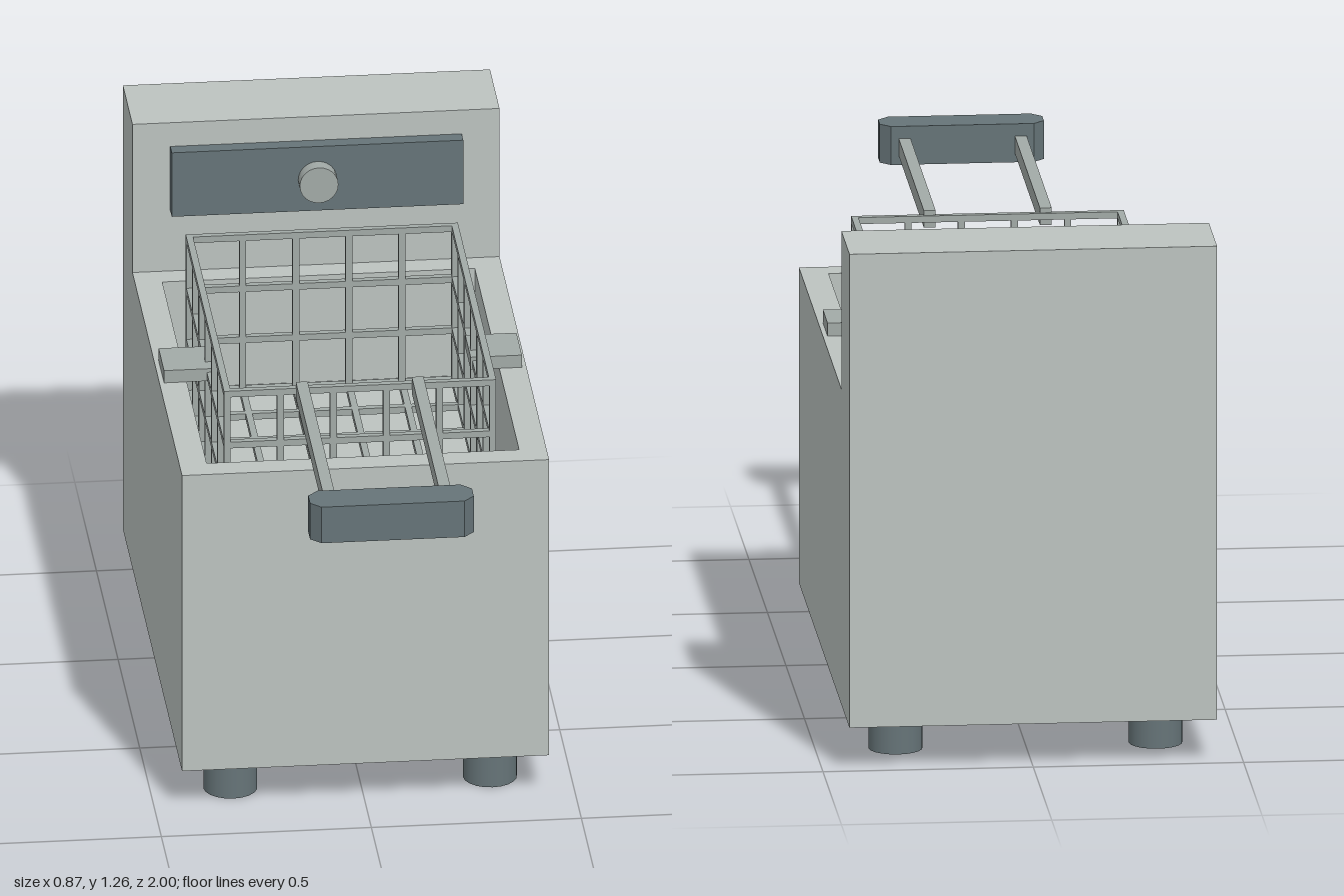
import * as THREE from 'three';

export function createModel() {
  const model = new THREE.Group();
  const body = new THREE.MeshStandardMaterial({ color: 0xbcc3c0 });
  const steel = new THREE.MeshStandardMaterial({ color: 0xa2aaa7 });
  const dark = new THREE.MeshStandardMaterial({ color: 0x667478 });

  function add(parent, name, geometry, material) {
    const mesh = new THREE.Mesh(geometry, material);
    mesh.name = name;
    parent.add(mesh);
    return mesh;
  }
  // Box given by its lower and upper bounds
  function box(parent, name, x0, x1, y0, y1, z0, z1, material) {
    const mesh = add(parent, name, new THREE.BoxGeometry(x1 - x0, y1 - y0, z1 - z0), material);
    mesh.position.set((x0 + x1) / 2, (y0 + y1) / 2, (z0 + z1) / 2);
  }
  // Rectangle outline on the ground plane (shape y = -z), clockwise
  const rect = (x0, x1, z0, z1) => [[x0, -z0], [x1, -z0], [x1, -z1], [x0, -z1]]
    .map(([x, y]) => new THREE.Vector2(x, y));
  // Upright prism from a ground-plane shape
  function prism(parent, name, shape, y0, y1, material) {
    const geometry = new THREE.ExtrudeGeometry(shape, { depth: y1 - y0, bevelEnabled: false });
    geometry.rotateX(-Math.PI / 2);
    add(parent, name, geometry, material).position.y = y0;
  }

  // Housing with an open basin; the hole runs against the outline so its walls face inwards
  const housing = new THREE.Group();
  housing.name = 'housing';
  model.add(housing);
  const outline = new THREE.Shape(rect(-0.437, 0.437, -1, 0.366));
  outline.holes.push(new THREE.Path(rect(-0.372, 0.372, -0.72, 0.303).reverse()));
  prism(housing, 'basinWalls', outline, 0.106, 0.878, body);
  box(housing, 'basinFloor', -0.372, 0.372, 0.106, 0.6, -0.72, 0.303, body);
  box(housing, 'backPanel', -0.437, 0.437, 0.878, 1.265, -1, -0.78, body);

  // Control plate and dial
  box(model, 'controlPlate', -0.347, 0.347, 1.036, 1.203, -0.78, -0.744, dark);
  const dial = add(model, 'dial', new THREE.CylinderGeometry(0.046, 0.046, 0.036, 24), steel);
  dial.rotation.x = Math.PI / 2;
  dial.position.set(0, 1.118, -0.726);

  // Feet
  for (const x of [-0.309, 0.309]) {
    for (const z of [0.241, -0.79]) {
      add(model, 'foot', new THREE.CylinderGeometry(0.064, 0.064, 0.106, 20), dark)
        .position.set(x, 0.053, z);
    }
  }

  // Wire basket: 5 x 3 x 6 cells
  const basket = new THREE.Group();
  basket.name = 'basket';
  model.add(basket);
  const w = 0.008;
  const X = 0.316, Y0 = 0.626, Y1 = 1.026, Z0 = -0.638, Z1 = 0.232;
  const lerp = THREE.MathUtils.lerp;
  const wire = (name, x0, x1, y0, y1, z0, z1) =>
    box(basket, name, x0 - w, x1 + w, y0 - w, y1 + w, z0 - w, z1 + w, steel);

  // Horizontal hoops on the four sides
  for (let j = 0; j <= 3; j++) {
    const y = lerp(Y0, Y1, j / 3);
    for (const z of [Z0, Z1]) wire('crossWire', -X, X, y, y, z, z);
    for (const x of [-X, X]) wire('sideWire', x, x, y, y, Z0, Z1);
  }
  // Uprights on front and back, with the lengthwise floor wires
  for (let i = 0; i <= 5; i++) {
    const x = lerp(-X, X, i / 5);
    for (const z of [Z0, Z1]) wire('uprightWire', x, x, Y0, Y1, z, z);
    if (i > 0 && i < 5) wire('floorWire', x, x, Y0, Y0, Z0, Z1);
  }
  // Uprights on the sides, with the crosswise floor wires
  for (let k = 1; k < 6; k++) {
    const z = lerp(Z0, Z1, k / 6);
    for (const x of [-X, X]) wire('uprightWire', x, x, Y0, Y1, z, z);
    wire('floorWire', -X, X, Y0, Y0, z, z);
  }

  // Side rests and handle rods
  for (const s of [-1, 1]) {
    box(basket, 'sideRest', s * 0.365 - 0.061, s * 0.365 + 0.061, 0.878, 0.91, -0.282, -0.156, steel);
    box(basket, 'handleRod', s * 0.138 - 0.014, s * 0.138 + 0.014, 1.004, 1.046, 0.23, 0.92, steel);
  }

  // Grip with chamfered corners
  const gx = 0.195, g0 = 0.907, g1 = 1, c = 0.025;
  const grip = new THREE.Shape([
    [-gx + c, -g1], [gx - c, -g1], [gx, -g1 + c], [gx, -g0 - c],
    [gx - c, -g0], [-gx + c, -g0], [-gx, -g0 - c], [-gx, -g1 + c],
  ].map(([x, y]) => new THREE.Vector2(x, y)));
  prism(basket, 'grip', grip, 0.982, 1.076, dark);

  return model;
}
